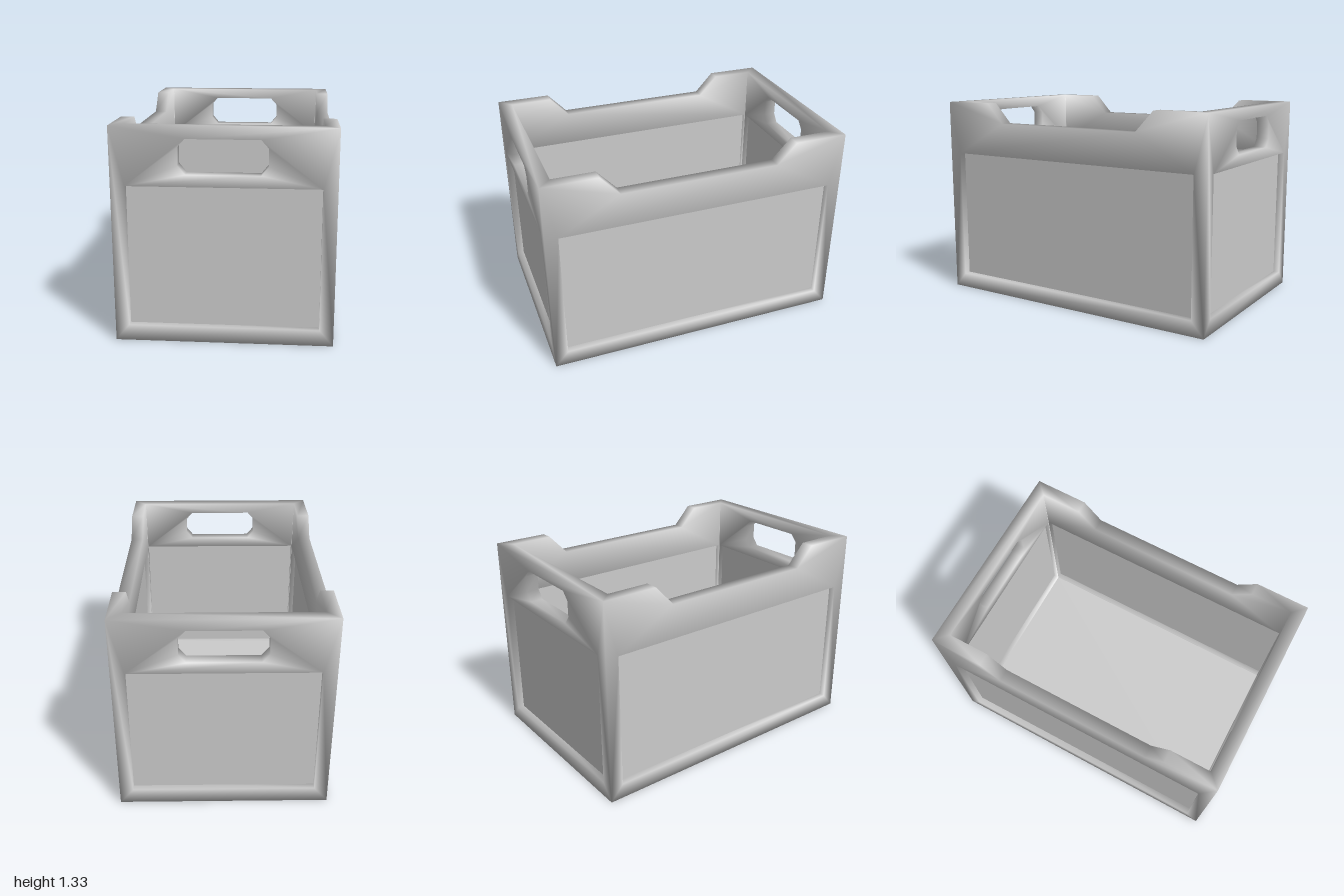
import * as THREE from 'three';
import { mergeGeometries, mergeVertices } from 'three/addons/utils/BufferGeometryUtils.js';

const W = 0.665, D = 1, H = 1.333; // half width, half depth, height
const T = 0.083;                   // wall thickness
const B = 0.086, Y0 = 0.1, Y1 = 0.977; // panel opening: side margin, bottom, top

const toPoints = (list) => list.map(([x, y]) => new THREE.Vector2(x, y));

// One wall frame with mitred ends and no underside; its outer face lies at z = dist
function wallFrame(half, dist, top, holes) {
  const shape = new THREE.Shape(toPoints([[-half, 0], [half, 0], [half, H], ...top, [-half, H]]));
  const p = half - B;
  for (const h of [[[-p, Y0], [-p, Y1], [p, Y1], [p, Y0]], ...holes]) {
    shape.holes.push(new THREE.Path(toPoints(h)));
  }
  const geo = new THREE.ExtrudeGeometry(shape, { depth: T, bevelEnabled: false });
  const pos = geo.attributes.position;
  const kept = [];
  for (let i = 0; i < pos.count; i += 3) {
    const tri = [0, 1, 2].map((k) => new THREE.Vector3().fromBufferAttribute(pos, i + k));
    // Leave out the hidden mitre faces and the strip covered by the base
    const onPlane = (axis, value) => tri.every((v) => Math.abs(v[axis] - value) < 1e-4);
    if (onPlane('x', half) || onPlane('x', -half) || onPlane('y', 0)) continue;
    for (const v of tri) {
      if (v.z < 1e-4 && Math.abs(v.x) > half - 1e-4) v.x = Math.sign(v.x) * (half - T);
      kept.push(v.x, v.y, v.z + dist - T);
    }
  }
  const out = new THREE.BufferGeometry();
  out.setAttribute('position', new THREE.Float32BufferAttribute(kept, 3));
  return out;
}

export function createModel() {
  const group = new THREE.Group();
  const mat = new THREE.MeshStandardMaterial({ color: 0xcccccc });
  const add = (name, geo) => {
    const mesh = new THREE.Mesh(geo, mat);
    mesh.name = name;
    group.add(mesh);
  };

  // Chamfered hand hole of the end walls, and lowered rim of the long walls
  const handle = [[-0.265, 1.105], [-0.265, 1.21], [-0.22, 1.26], [0.22, 1.26],
    [0.265, 1.21], [0.265, 1.105], [0.22, 1.05], [-0.22, 1.05]];
  const dip = [[0.645, H], [0.52, 1.2], [-0.52, 1.2], [-0.645, H]];

  // Underside, welded to the walls
  const base = new THREE.PlaneGeometry(2 * W, 2 * D).rotateX(Math.PI / 2).toNonIndexed();
  base.deleteAttribute('normal');
  base.deleteAttribute('uv');

  // Four walls and the underside form one smooth-shaded frame
  const pieces = [base];
  for (let i = 0; i < 4; i++) {
    const end = i % 2 === 0;
    const half = end ? W : D, dist = end ? D : W;
    const geo = wallFrame(half, dist, end ? [] : dip, end ? [handle] : []);
    pieces.push(geo.rotateY((i * Math.PI) / 2));

    // Thin panel set in the middle of the wall
    const panel = new THREE.BoxGeometry(2 * (half - B), Y1 - Y0, 0.006);
    panel.translate(0, (Y0 + Y1) / 2, dist - T / 2 - 0.004).rotateY((i * Math.PI) / 2);
    add(['frontPanel', 'leftPanel', 'backPanel', 'rightPanel'][i], panel);
  }
  const frame = mergeVertices(mergeGeometries(pieces));
  frame.computeVertexNormals();
  add('frame', frame);

  // Floor slab
  add('floor', new THREE.BoxGeometry(2 * (W - T), 0.08, 2 * (D - T)).translate(0, 0.05, 0));
  return group;
}
